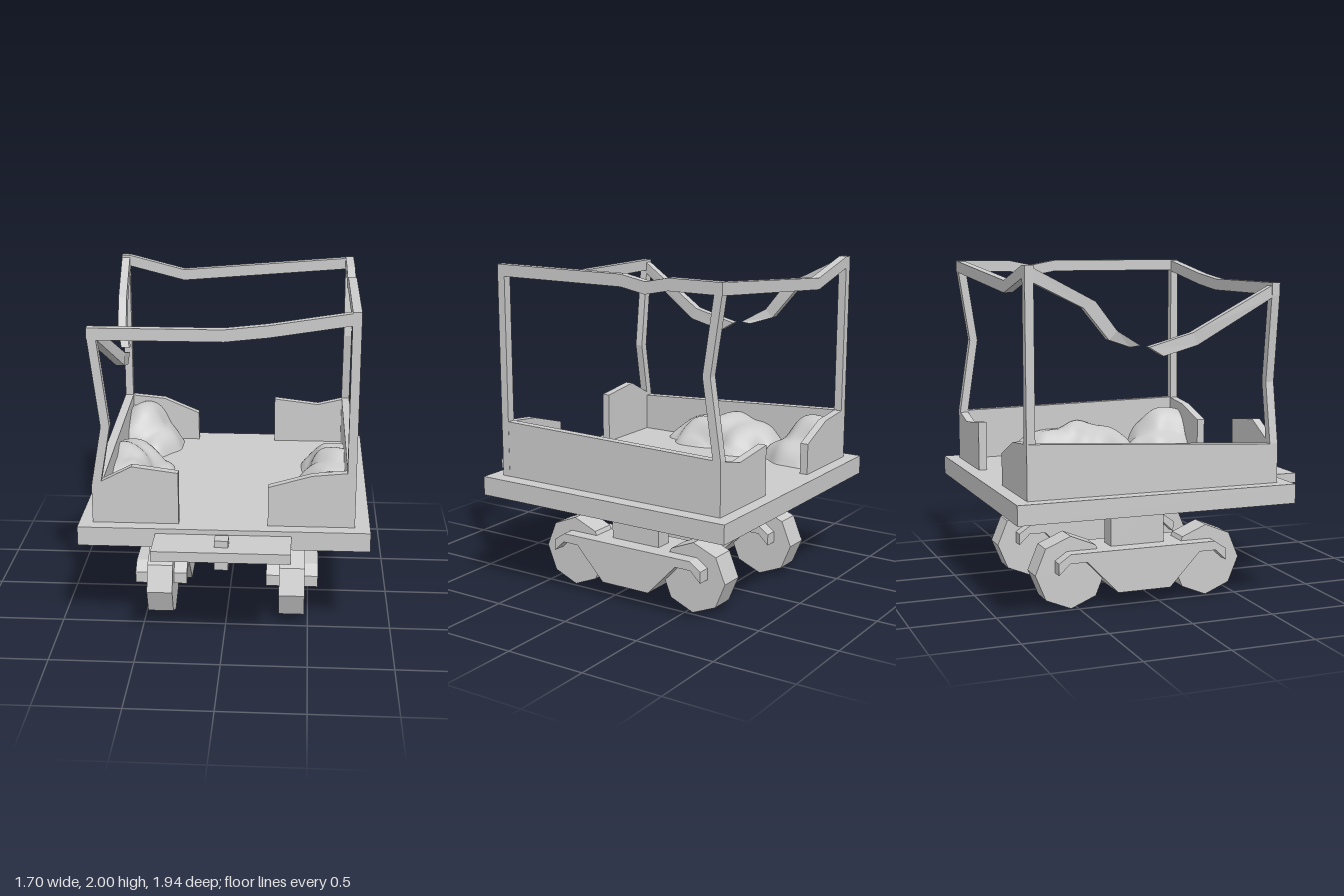
import * as THREE from 'three';

const grey = new THREE.MeshStandardMaterial({ color: 0xcccccc, flatShading: true });
const smooth = new THREE.MeshStandardMaterial({ color: 0xcccccc });

export function createModel() {
  const model = new THREE.Group();

  function add(name, geometry, x = 0, y = 0, z = 0, material = grey, parent = model) {
    const mesh = new THREE.Mesh(geometry, material);
    mesh.name = name;
    mesh.position.set(x, y, z);
    parent.add(mesh);
    return mesh;
  }

  // Box given by its limits on each axis
  function block(name, x0, x1, y0, y1, z0, z1) {
    add(name, new THREE.BoxGeometry(x1 - x0, y1 - y0, z1 - z0),
      (x0 + x1) / 2, (y0 + y1) / 2, (z0 + z1) / 2);
  }

  function extrude(points, depth) {
    const shape = new THREE.Shape(points.map(([a, b]) => new THREE.Vector2(a, b)));
    return new THREE.ExtrudeGeometry(shape, { depth, bevelEnabled: false });
  }

  // Profile in (z, y), extruded from xMax towards -x
  function sideExtrude(name, points, depth, xMax) {
    add(name, extrude(points, depth).rotateY(-Math.PI / 2), xMax);
  }

  // Bent bar: a rectangle with half-axes u and v swept through points.
  // A point may carry its own u as a second entry.
  function beam(name, path, uDefault, vHalf) {
    const pts = path.map(([p]) => new THREE.Vector3(...p));
    const along = pts.at(-1).clone().sub(pts[0]);
    const v = new THREE.Vector3(...vHalf);
    const pos = [], index = [];
    pts.forEach((c, i) => {
      const u = new THREE.Vector3(...(path[i][1] || uDefault));
      if (u.clone().cross(v).dot(along) < 0) u.negate();
      for (const [a, b] of [[1, 1], [-1, 1], [-1, -1], [1, -1]]) {
        pos.push(...c.clone().addScaledVector(u, a).addScaledVector(v, b).toArray());
      }
      if (i === 0) return;
      for (let k = 0; k < 4; k++) {
        const a = (i - 1) * 4 + k, b = (i - 1) * 4 + (k + 1) % 4;
        index.push(a, b, b + 4, a, b + 4, a + 4);
      }
    });
    const e = (pts.length - 1) * 4;
    index.push(0, 2, 1, 0, 3, 2, e, e + 1, e + 2, e, e + 2, e + 3);
    const g = new THREE.BufferGeometry();
    g.setAttribute('position', new THREE.Float32BufferAttribute(pos, 3));
    g.setIndex(index);
    const flat = g.toNonIndexed();
    flat.computeVertexNormals();
    add(name, flat);
  }

  // Deck and coupling
  block('deck', -0.85, 0.85, 0.605, 0.72, -0.97, 0.72);
  block('couplingPlate', -0.395, 0.395, 0.63, 0.69, 0.72, 0.97);
  block('couplingPin', -0.04, 0.04, 0.55, 0.73, 0.815, 0.895);

  // Side walls
  sideExtrude('rightWall', [[0.64, 0.72], [0.64, 1.06], [-0.89, 1.035], [-0.89, 0.72]], 0.05, 0.76);
  sideExtrude('leftWall', [[0.64, 0.72], [0.64, 0.95], [-0.89, 1.035], [-0.89, 0.72]], 0.055, -0.715);

  // Broken end walls: top edge of each remaining piece
  const endWalls = [
    ['frontWallLeft', 0.59, [[-0.765, 0.95], [-0.535, 1.07], [-0.265, 1.035]]],
    ['frontWallRight', 0.59, [[0.255, 0.96], [0.51, 1.035], [0.755, 1.06]]],
    ['backWallLeft', -0.89, [[-0.765, 1.035], [-0.5, 1.01], [-0.265, 0.91]]],
    ['backWallRight', -0.89, [[0.255, 1.02], [0.55, 0.985], [0.755, 1.035]]],
  ];
  for (const [name, z, top] of endWalls) {
    add(name, extrude([[top[0][0], 0.72], ...top, [top[2][0], 0.72]], 0.05), 0, 0, z);
  }

  // Corner posts, two of them bent
  const L = -0.7425, R = 0.735, F = 0.615, B = -0.865;
  const ux = [0.026, 0, 0], vz = [0, 0, 0.025], uy = [0, 0.035, 0];
  beam('backLeftPost', [[[L, 0.72, B]], [[L, 1.95, B]]], ux, vz);
  beam('frontRightPost', [[[R, 0.72, F]], [[R, 1.95, F]]], ux, vz);
  beam('frontLeftPost', [[[L, 0.9, F]], [[L, 0.955, F]], [[-0.68, 1.31, F]], [[L, 1.84, F]]], ux, vz);
  beam('backRightPost', [[[R, 0.98, B]], [[R, 1.035, B]], [[R, 1.49, -0.795]], [[R, 1.95, B]]], ux, vz);

  // Top rails
  beam('frontRail', [[[-0.769, 1.855, F]], [[0, 1.855, F]], [[0.25, 1.883, F]], [[0.76, 1.965, F]]], uy, vz);
  beam('backRail', [[[-0.769, 1.965, B]], [[-0.715, 1.965, B]], [[-0.355, 1.873, B]], [[0.76, 1.965, B]]], uy, vz);
  beam('rightRail', [[[R, 1.965, 0.64]], [[R, 1.965, -0.24]], [[R, 1.935, -0.4]],
    [[R, 1.965, -0.55]], [[R, 1.965, -0.89]]], uy, ux);

  // Left rail, snapped in two
  beam('leftRailFront', [
    [[L, 1.855, 0.62]],
    [[-0.65, 1.572, 0.15], [0, 0.036, -0.015]],
    [[-0.66, 1.507, -0.095], [0, 0.027, -0.045]],
  ], uy, ux);
  beam('leftRailBack', [
    [[L, 1.955, -0.86], [0, 0.035, 0.01]],
    [[-0.72, 1.782, -0.515], [0, 0.018, 0.035]],
    [[-0.71, 1.61, -0.375], [0, 0.025, 0.025]],
    [[-0.67, 1.5425, -0.2275], [0, 0.004, 0.032]],
  ], uy, ux);

  // Bogies with wheels, one on each side
  const mid = -0.1125;
  const half = [[0.165, 0.09], [0.355, 0.29], [0.46, 0.29], [0.528, 0.225], [0.528, 0.295], [0.455, 0.345]];
  const profile = [
    ...half.map(([z, y]) => [mid + z, y]),
    ...half.slice().reverse().map(([z, y]) => [mid - z, y]),
  ];
  for (const [side, x] of [['left', 0.4], ['right', -0.4]]) {
    block(side + 'Support', x - 0.053, x + 0.053, 0.33, 0.61, -0.285, 0.05);
    sideExtrude(side + 'Bogie', profile, 0.315, x + 0.1575);
    for (const [end, z] of [['Front', 0.3175], ['Back', -0.5425]]) {
      add(side + end + 'Wheel',
        new THREE.CylinderGeometry(0.2165, 0.2165, 0.155, 8).rotateZ(Math.PI / 2), x, 0.2165, z);
    }
  }

  // Heaps of ore: bumps [x, z, radiusX, radiusZ, height] raised on a grid, skirts sunk in the deck
  function heap(name, x0, x1, z0, z1, bumps, parent) {
    const g = new THREE.PlaneGeometry(x1 - x0, z1 - z0, 28, 44).rotateX(-Math.PI / 2);
    g.translate((x0 + x1) / 2, 0, (z0 + z1) / 2);
    const p = g.attributes.position;
    for (let i = 0; i < p.count; i++) {
      const x = p.getX(i), z = p.getZ(i);
      const wobble = 1 + 0.05 * Math.sin(23 * x + 17 * z) + 0.04 * Math.sin(31 * z - 13 * x);
      let h = 0;
      for (const [cx, cz, rx, rz, top] of bumps) {
        const d = Math.hypot((x - cx) / rx, (z - cz) / rz) * wobble;
        const s = Math.max(0, 1 - d * d);
        h = Math.hypot(h, top * s * (1.6 - 0.6 * s));
      }
      p.setY(i, 0.705 + h);
    }
    g.computeVertexNormals();
    add(name, g, 0, 0, 0, smooth, parent);
  }
  for (const [side, turned] of [['right', false], ['left', true]]) {
    const ore = new THREE.Group();
    ore.name = side + 'Ore';
    heap('cornerHeap', -0.718, -0.35, -0.845, -0.42,
      [[-0.67, -0.8, 0.22, 0.3, 0.26], [-0.55, -0.72, 0.19, 0.27, 0.17]], ore);
    heap('longHeap', -0.718, -0.35, -0.6, 0.34, [
      [-0.68, 0.02, 0.2, 0.31, 0.18],
      [-0.66, -0.26, 0.22, 0.28, 0.19],
      [-0.55, 0.06, 0.11, 0.18, 0.09],
      [-0.48, -0.25, 0.11, 0.15, 0.06],
    ], ore);
    if (turned) {
      ore.rotation.y = Math.PI;
      ore.position.set(-0.005, 0, -0.25);
    }
    model.add(ore);
  }

  return model;
}
